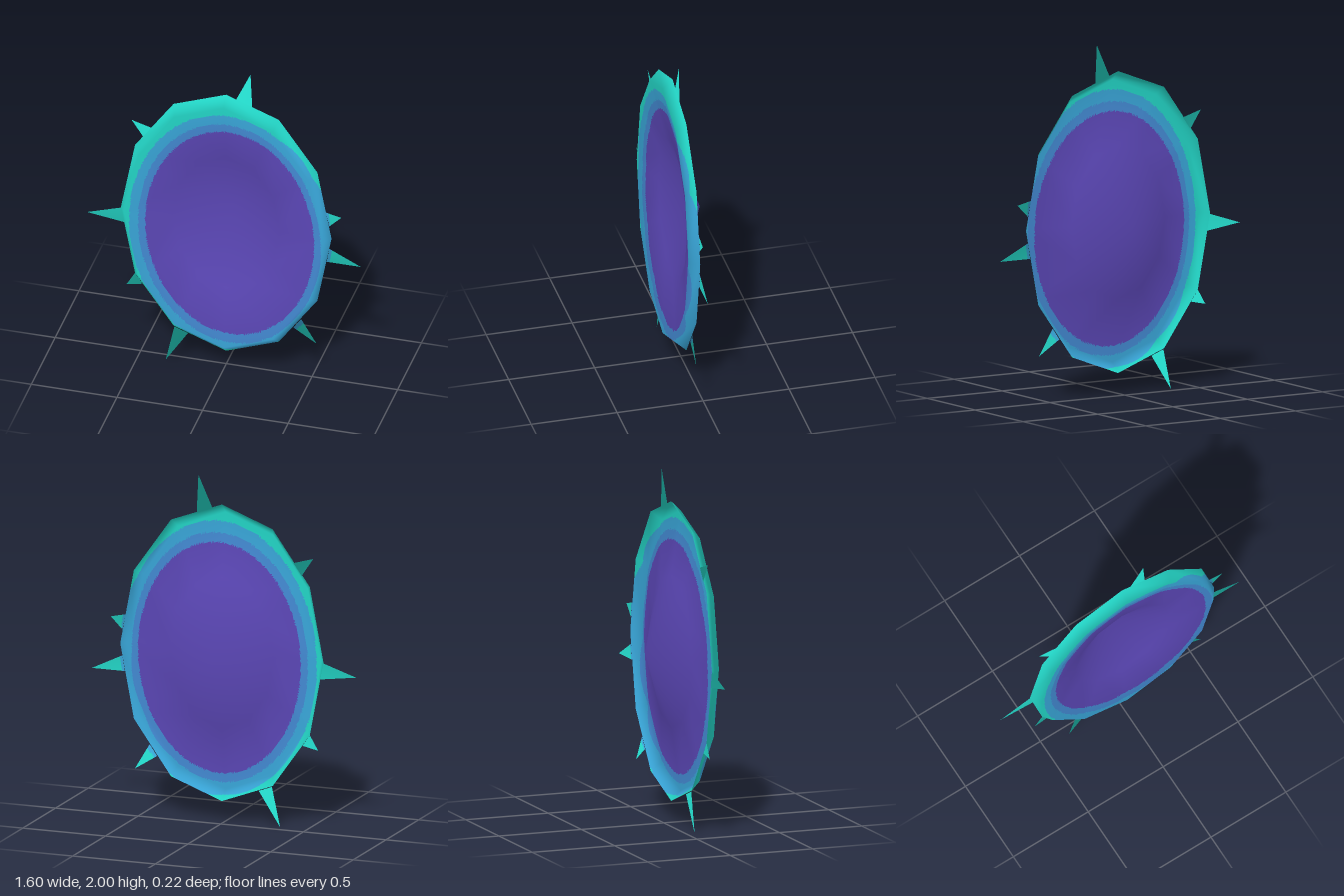
import * as THREE from 'three';

const CX = 0.013, CY = 0.98, RX = 0.615, RY = 0.86, SIDES = 12;

// Dish profile: [fraction of outer radius, z]
const RINGS = [[0.51, 0.05], [0.935, 0.108], [1, 0.05]];

// Flat thorns on the edge: base, tip, base
const THORNS = [
  [0.07, 1.815, 0.155, 2.0, 0.165, 1.78],
  [-0.42, 1.54, -0.54, 1.575, -0.47, 1.47],
  [-0.6, 0.975, -0.8, 0.91, -0.583, 0.88],
  [-0.52, 0.55, -0.57, 0.465, -0.475, 0.485],
  [-0.29, 0.23, -0.34, 0, -0.21, 0.2],
  [0.405, 0.345, 0.54, 0.26, 0.45, 0.41],
  [0.6, 0.82, 0.8, 0.82, 0.615, 0.91],
  [0.595, 1.15, 0.685, 1.13, 0.615, 1.06],
];

// Colour zones: nested ellipses, slightly off the dish centre
const ZONES = [
  { part: 'membrane', colour: 'purple', hex: 0x5a46b4, limit: 1 },
  { part: 'innerBand', colour: 'blue', hex: 0x4288d0, limit: 1.08 },
  { part: 'middleBand', colour: 'skyBlue', hex: 0x38a4d6, limit: 1.18 },
  { part: 'outerRim', colour: 'teal', hex: 0x22d3c4, limit: Infinity },
];
const zoneOf = (p) => {
  const r = Math.hypot((p.x - 0.045) / 0.495, (p.y - 0.94) / 0.67);
  return ZONES.findIndex((z) => r < z.limit);
};

// Coarse twelve-sided dish with smooth normals
function dishTriangles() {
  const pos = [CX, CY, -0.108], idx = [];
  RINGS.forEach(([t, z], r) => {
    for (let i = 0; i < SIDES; i++) {
      const a = (i / SIDES) * Math.PI * 2;
      pos.push(CX + Math.cos(a) * RX * t, CY + Math.sin(a) * RY * t, z);
      const j = (i + 1) % SIDES, o = 1 + r * SIDES, n = o - SIDES;
      if (r === 0) idx.push(0, o + i, o + j);
      else idx.push(n + i, o + i, o + j, n + i, o + j, n + j);
    }
  });
  const g = new THREE.BufferGeometry();
  g.setAttribute('position', new THREE.Float32BufferAttribute(pos, 3));
  g.setIndex(idx);
  g.computeVertexNormals();
  const corners = idx.map((i) => ({
    p: new THREE.Vector3().fromBufferAttribute(g.attributes.position, i),
    n: new THREE.Vector3().fromBufferAttribute(g.attributes.normal, i),
  }));
  const tris = [];
  for (let i = 0; i < corners.length; i += 3) tris.push(corners.slice(i, i + 3));
  return tris;
}

// One thorn, leaning its normals outward like the rim it grows from
function thornTriangle(c) {
  const tri = [0, 2, 4].map((k) => {
    const p = new THREE.Vector3(c[k], c[k + 1], 0.05);
    const n = new THREE.Vector3(p.x - CX, p.y - CY, 0).normalize().setZ(1).normalize();
    return { p, n };
  });
  const [a, b, d] = tri.map((v) => v.p);
  const facing = (b.x - a.x) * (d.y - a.y) - (b.y - a.y) * (d.x - a.x);
  return facing < 0 ? tri.reverse() : tri;
}

// Split a triangle into n * n pieces and sort them into colour zones
function divide(tri, n, buckets) {
  const at = (i, j) => {
    const w = [1 - (i + j) / n, i / n, j / n];
    const p = new THREE.Vector3(), m = new THREE.Vector3();
    tri.forEach((v, k) => {
      p.addScaledVector(v.p, w[k]);
      m.addScaledVector(v.n, w[k]);
    });
    return { p, n: m.normalize() };
  };
  const add = (...vs) => {
    const mid = vs.reduce((s, v) => s.addScaledVector(v.p, 1 / 3), new THREE.Vector3());
    const b = buckets[zoneOf(mid)];
    vs.forEach((v) => {
      b.pos.push(...v.p.toArray());
      b.nor.push(...v.n.toArray());
    });
  };
  for (let i = 0; i < n; i++) {
    for (let j = 0; j < n - i; j++) {
      add(at(i, j), at(i + 1, j), at(i, j + 1));
      if (i + j < n - 1) add(at(i + 1, j), at(i + 1, j + 1), at(i, j + 1));
    }
  }
}

export function createModel() {
  const group = new THREE.Group();
  group.name = 'thornedDish';
  const materials = ZONES.map((z) => {
    const m = new THREE.MeshStandardMaterial({ color: z.hex, side: THREE.DoubleSide });
    m.name = z.colour;
    return m;
  });

  const build = (prefix, tris, n) => {
    const buckets = ZONES.map(() => ({ pos: [], nor: [] }));
    tris.forEach((t) => divide(t, n, buckets));
    const part = new THREE.Group();
    part.name = prefix;
    buckets.forEach((b, k) => {
      if (!b.pos.length) return;
      const g = new THREE.BufferGeometry();
      g.setAttribute('position', new THREE.Float32BufferAttribute(b.pos, 3));
      g.setAttribute('normal', new THREE.Float32BufferAttribute(b.nor, 3));
      const mesh = new THREE.Mesh(g, materials[k]);
      mesh.name = prefix === 'dish' ? ZONES[k].part : `${ZONES[k].colour}Thorns`;
      part.add(mesh);
    });
    group.add(part);
  };
  build('dish', dishTriangles(), 28);
  build('thorns', THORNS.map(thornTriangle), 12);
  return group;
}
